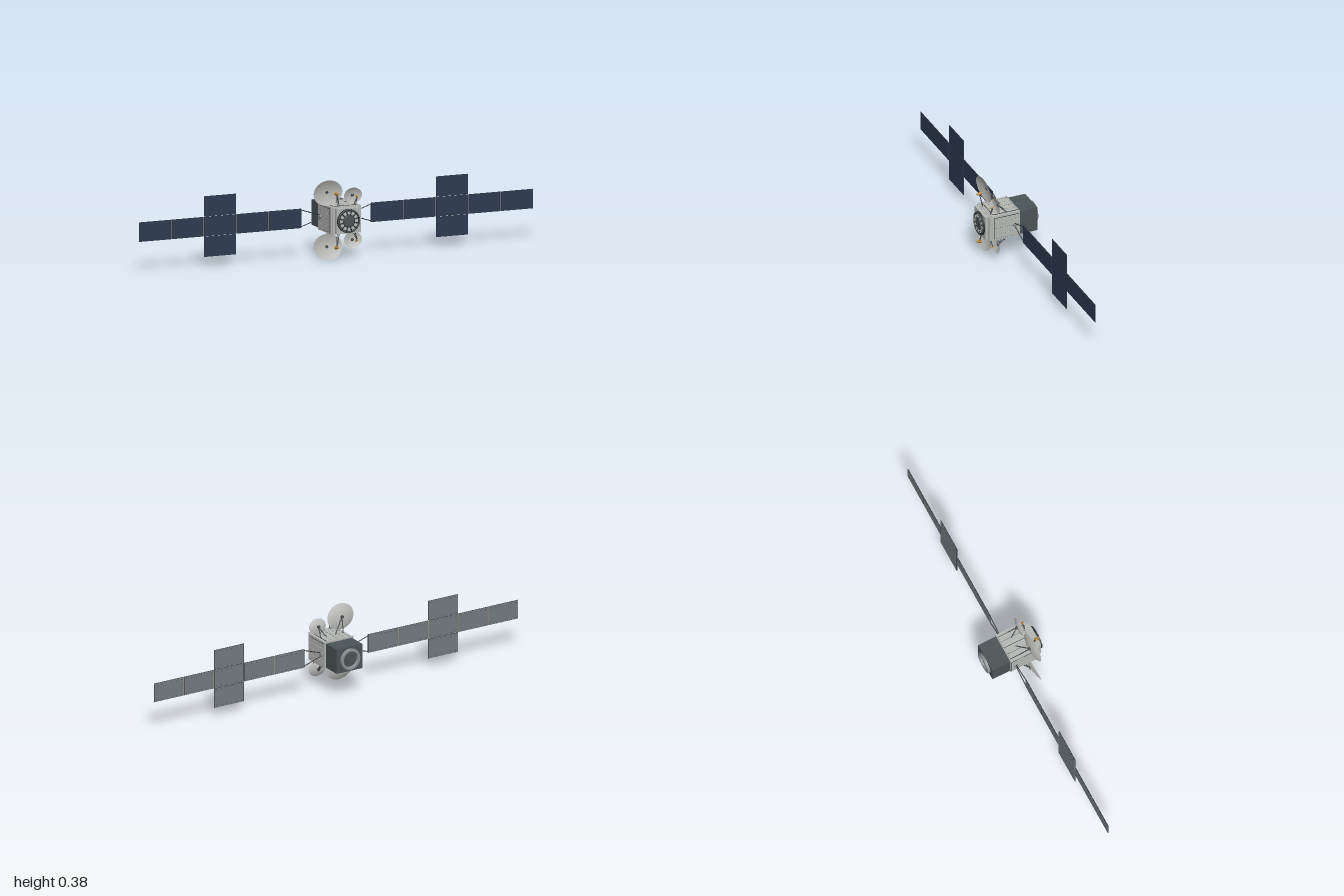
import * as THREE from 'three';

const paint = (name, color, side = THREE.FrontSide) => {
  const m = new THREE.MeshStandardMaterial({ color, side });
  m.name = name;
  return m;
};

export function createModel() {
  const model = new THREE.Group();
  const hull = paint('hull grey', 0xb6b8b6);
  const dark = paint('dark slate', 0x4b5456);
  const black = paint('near black', 0x2a2e30);
  const strutGrey = paint('strut grey', 0x4a4d4e);
  const cell = paint('solar navy', 0x2d3b50);
  const backing = paint('panel backing grey', 0x747b7f);
  const dishGrey = paint('dish grey', 0xbfc0bd, THREE.DoubleSide);
  const gold = paint('feed gold', 0xb9863c);
  const metal = paint('ring metal', 0x8b9193, THREE.DoubleSide);
  const tan = paint('hinge tan', 0xa89a7c);
  const CY = 0.195, WZ = -0.011; // body axis height, wing plane

  const group = (name, parent = model) => {
    const g = new THREE.Group();
    g.name = name;
    parent.add(g);
    return g;
  };
  const add = (name, geo, mat, pos, parent) => {
    const m = new THREE.Mesh(geo, mat);
    m.name = name;
    m.position.set(...pos);
    parent.add(m);
    return m;
  };
  const box = (name, size, mat, pos, parent) =>
    add(name, new THREE.BoxGeometry(...size), mat, pos, parent);
  // cylinder between two points; r1 at the start, r2 at the end
  const rod = (name, a, b, r1, r2, mat, parent, sides = 8) => {
    const A = new THREE.Vector3(...a), B = new THREE.Vector3(...b);
    const d = B.clone().sub(A);
    const m = add(name, new THREE.CylinderGeometry(r2, r1, d.length(), sides), mat,
      A.clone().add(B).multiplyScalar(0.5).toArray(), parent);
    m.quaternion.setFromUnitVectors(new THREE.Vector3(0, 1, 0), d.normalize());
    return m;
  };

  // Main body with stepped nose and rear flange
  const body = group('body');
  box('mainHull', [0.152, 0.13, 0.142], hull, [0, CY, 0.035], body);
  box('noseStep', [0.144, 0.124, 0.01], hull, [0, CY, 0.110], body);
  box('nosePlate', [0.122, 0.12, 0.017], hull, [0, CY, 0.1225], body);
  box('rearFlange', [0.158, 0.136, 0.004], hull, [0, CY, -0.035], body);
  box('serviceModule', [0.142, 0.12, 0.093], dark, [0, CY, -0.0835], body);

  // Raised panels on all four sides, separated by dark grooves
  for (const s of [-1, 1]) {
    box('sideGroove', [0.002, 0.11, 0.127], black, [s * 0.0764, CY, 0.03], body);
    box('topGroove', [0.124, 0.002, 0.127], black, [0, CY + s * 0.0654, 0.03], body);
    [[-0.042, 0.022], [-0.0152, 0.0282], [0.0152, 0.0282], [0.042, 0.022]].forEach(([o, w]) => {
      box('sidePanel', [0.005, w, 0.124], hull, [s * 0.0772, CY + o, 0.03], body);
      box('topPanel', [w * 1.12, 0.003, 0.124], hull, [o * 1.12, CY + s * 0.0658, 0.03], body);
    });
  }

  // Docking ring: dark drum with a fan of light petals and a hub
  const port = group('frontRing');
  rod('frontDrum', [0, CY, 0.13], [0, CY, 0.139], 0.057, 0.057, black, port, 40);
  const rim = add('frontRim', new THREE.TorusGeometry(0.053, 0.0035, 8, 40), dark, [0, CY, 0.139], port);
  rim.scale.z = 0.8;
  const petal = new THREE.Shape();
  petal.moveTo(-0.0055, 0.031);
  petal.lineTo(0.0055, 0.031);
  petal.lineTo(0.0085, 0.046);
  petal.lineTo(-0.0085, 0.046);
  const petalGeo = new THREE.ExtrudeGeometry(petal, { depth: 0.0015, bevelEnabled: false });
  for (let i = 0; i < 12; i++) {
    add('ringPetal', petalGeo, hull, [0, CY, 0.139], port).rotation.z = (i * Math.PI) / 6;
    const a = ((i + 0.5) * Math.PI) / 6;
    box('ringLatch', [0.005, 0.005, 0.004], black,
      [Math.cos(a) * 0.05, CY + Math.sin(a) * 0.05, 0.141], port);
  }
  rod('frontHub', [0, CY, 0.139], [0, CY, 0.1415], 0.028, 0.026, dark, port, 32);

  // Rear engine ring, open with a recessed floor
  const ringProfile = [[0.036, -0.002], [0.038, 0.011], [0.04, 0.013], [0.05, 0.013], [0.052, 0.011], [0.052, 0]]
    .map(([r, y]) => new THREE.Vector2(r, y));
  const ring = add('rearRing', new THREE.LatheGeometry(ringProfile, 40), metal, [0, CY, -0.13], model);
  ring.rotation.x = -Math.PI / 2;
  rod('rearFloor', [0, CY, -0.129], [0, CY, -0.132], 0.037, 0.037, dark, model, 32);

  // Dishes with V-struts behind and a feed horn on an arm in front
  const dishProfile = [];
  for (let i = 0; i <= 10; i++) dishProfile.push(new THREE.Vector2(i / 10, (i / 10) ** 2));
  const dishGeo = new THREE.LatheGeometry(dishProfile, 40);
  const antenna = (label, s, d) => {
    const g = group(label);
    const Y = (v) => CY + s * v;
    const hub = [d.x, Y(d.y), d.z];
    const n = new THREE.Vector3(d.tilt, -s * 0.13, 0.98).normalize();
    const dish = add('dish', dishGeo, dishGrey, hub, g);
    dish.scale.set(d.rx, d.depth, d.ry);
    dish.quaternion.setFromUnitVectors(new THREE.Vector3(0, 1, 0), n);
    for (const fx of d.feet)
      rod('dishStrut', [fx, Y(0.064), 0.021], [d.x, Y(d.y), d.z], 0.0026, 0.0026, strutGrey, g);
    rod('dishHub', [d.x, Y(d.y), d.z - 0.005], [d.x, Y(d.y), d.z + 0.001], 0.008, 0.008, strutGrey, g, 12);
    const [hx, hy, hz] = d.horn, k = d.hornSize;
    for (const o of [-0.004, 0.004])
      rod('feedArm', [d.armX + o, Y(0.06), 0.1 + o / 2], [hx + o * 0.3, Y(hy - 0.003), hz - 0.002],
        0.0022, 0.0022, strutGrey, g);
    rod('feedHorn', [hx, Y(hy), hz + 0.012 * k], [hx - 0.003 * k, Y(hy + 0.002), hz - 0.011 * k],
      0.0045 * k, 0.0085 * k, gold, g, 16);
  };
  for (const s of [1, -1]) {
    antenna('largeAntenna', s, {
      x: -0.08, y: 0.129, z: 0.064, rx: 0.075, ry: 0.062, depth: 0.013, tilt: 0.06,
      feet: [-0.06, -0.015], armX: -0.037, horn: [-0.048, 0.126, 0.114], hornSize: 1,
    });
    antenna('smallAntenna', s, {
      x: 0.05, y: 0.106, z: 0.063, rx: 0.045, ry: 0.039, depth: 0.009, tilt: -0.04,
      feet: [0.03, 0.062], armX: 0.043, horn: [0.06, 0.103, 0.096], hornSize: 0.58,
    });
  }

  // Solar wings: five panels in a row, the third with extra panels above and below
  const P = 0.1648, X0 = 0.176, H = 0.092, BIG = 0.097;
  const panel = (x, y, h, parent) => {
    const w = P - 0.003;
    box('panelFrame', [w, h, 0.003], black, [x, y, WZ], parent);
    box('solarCells', [w - 0.001, h - 0.001, 0.001], cell, [x, y, WZ + 0.0016], parent);
    box('panelBack', [w - 0.001, h - 0.001, 0.001], backing, [x, y, WZ - 0.0016], parent);
    for (const v of [-0.4, 0.4])
      for (let i = 0; i < 6; i++)
        box('backFitting', [0.006, 0.003, 0.001], dark,
          [x + ((i - 2.5) / 6) * w, y + v * h, WZ - 0.0024], parent);
  };
  for (const s of [-1, 1]) {
    const wing = group(s > 0 ? 'leftWing' : 'rightWing');
    for (let i = 0; i < 5; i++) {
      const x = s * (X0 + (i + 0.5) * P);
      panel(x, CY, H, wing);
      if (i === 2)
        for (const v of [-1, 1]) panel(x, CY + v * (H / 2 + BIG / 2 + 0.001), BIG - 0.001, wing);
      if (i > 0)
        box('hingeStrip', [0.003, H, 0.002], tan, [s * (X0 + i * P), CY, WZ], wing);
    }
    // Pivot and forked yoke
    rod('wingPivot', [s * 0.074, CY, WZ], [s * 0.086, CY, WZ], 0.01, 0.01, metal, wing, 16);
    for (const v of [-1, 1])
      rod('yokeArm', [s * 0.082, CY + v * 0.008, WZ], [s * 0.178, CY + v * 0.04, WZ],
        0.002, 0.002, black, wing);
    rod('yokeBar', [s * 0.176, CY - 0.044, WZ], [s * 0.176, CY + 0.044, WZ], 0.002, 0.002, black, wing);
  }
  return model;
}
